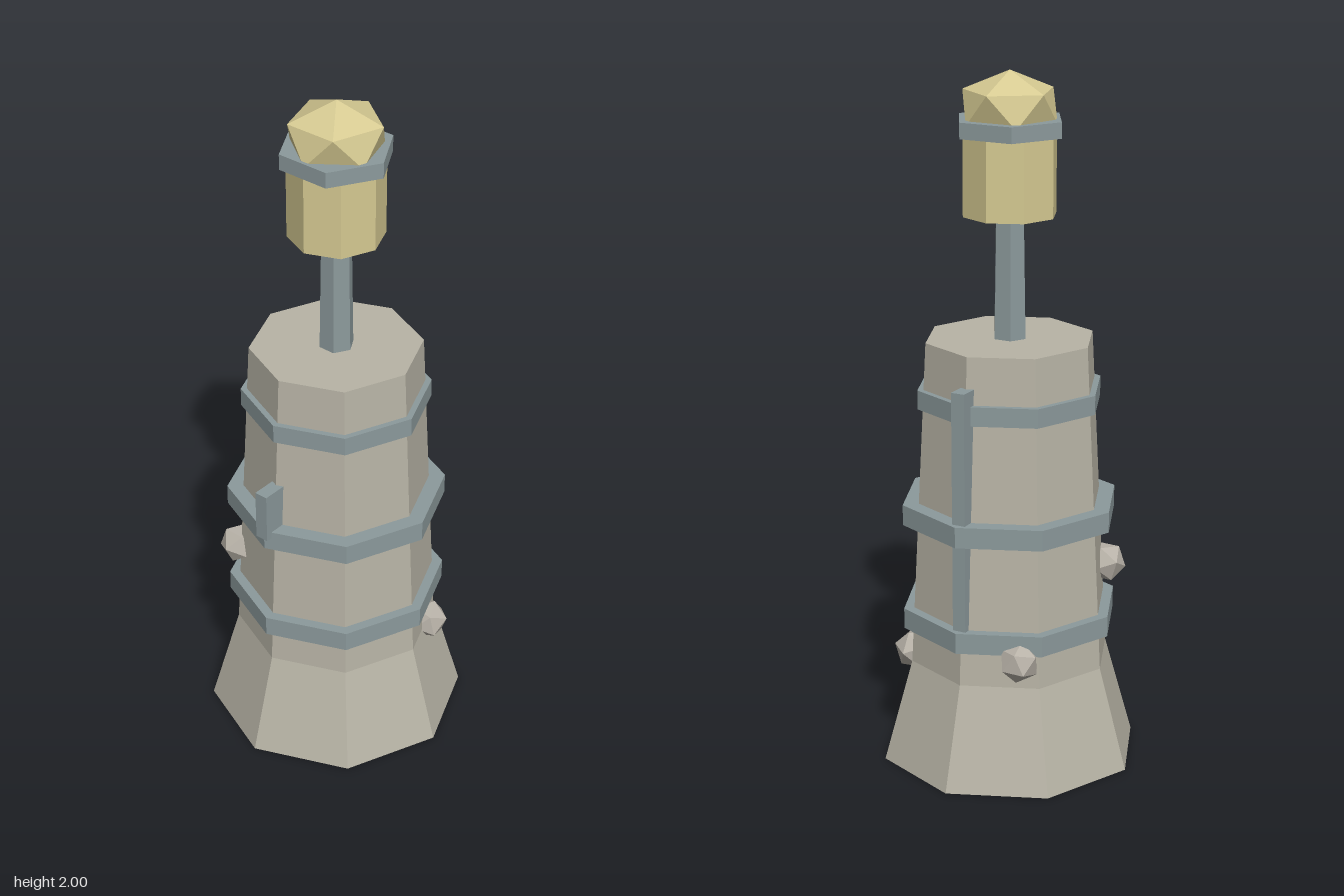
import * as THREE from 'three';

const flat = (name, color) => {
  const m = new THREE.MeshStandardMaterial({ color, flatShading: true });
  m.name = name;
  return m;
};

export function createModel() {
  const root = new THREE.Group();
  root.name = 'tower';
  const stone = flat('stone', 0xb8b4a6);
  const pebble = flat('paleStone', 0xb8b2a8);
  const metal = flat('greyMetal', 0x8c9a9c);
  const gold = flat('paleGold', 0xd6ca92);

  const add = (name, geometry, material, x = 0, y = 0, z = 0) => {
    const mesh = new THREE.Mesh(geometry, material);
    mesh.name = name;
    mesh.position.set(x, y, z);
    root.add(mesh);
    return mesh;
  };
  // Upright prism or frustum between two heights
  const prism = (name, material, rTop, rBottom, y0, y1, sides) =>
    add(name, new THREE.CylinderGeometry(rTop, rBottom, y1 - y0, sides), material, 0, (y0 + y1) / 2, 0);

  // Octagonal tower: flared foot, then a gently tapering shaft
  const profile = [[0, 0], [0.38, 0], [0.295, 0.3], [0.245, 1.25], [0, 1.25]];
  add('towerBody', new THREE.LatheGeometry(profile.map(p => new THREE.Vector2(...p)), 8), stone);

  // Metal hoops around the shaft
  for (const [r, y0, y1] of [[0.317, 0.405, 0.465], [0.317, 0.72, 0.78], [0.27, 1.06, 1.115]]) {
    prism('hoop', metal, r, r, y0, y1, 8);
  }

  // Side pipe and short bracket
  add('sidePipe', new THREE.BoxGeometry(0.06, 0.72, 0.04), metal, 0.267, 0.8, 0);
  add('sideBracket', new THREE.BoxGeometry(0.077, 0.15, 0.04), metal, -0.2885, 0.835, 0);

  // Mast, lantern and collar
  prism('mast', metal, 0.044, 0.05, 1.25, 1.605, 6);
  prism('lantern', gold, 0.135, 0.135, 1.6, 1.84, 8);
  prism('lanternCollar', metal, 0.16, 0.16, 1.824, 1.869, 6);

  // Faceted cap, one vertex straight up
  const cap = new THREE.IcosahedronGeometry(0.148, 0);
  cap.rotateZ(-Math.atan(2 / (1 + Math.sqrt(5))));
  cap.scale(1, 0.676, 1);
  add('lanternCap', cap, gold, 0, 1.9, 0);

  // Faceted stones stuck to the walls
  const studs = [[0.137, 0.305, 0.243], [0.243, 0.385, -0.162], [-0.185, 0.555, -0.218]];
  studs.forEach(([x, y, z], i) => {
    add('wallStone', new THREE.IcosahedronGeometry(0.06, 0), pebble, x, y, z)
      .rotation.set(0.35, 0.5 + i * 1.57, 0.1);
  });

  return root;
}
